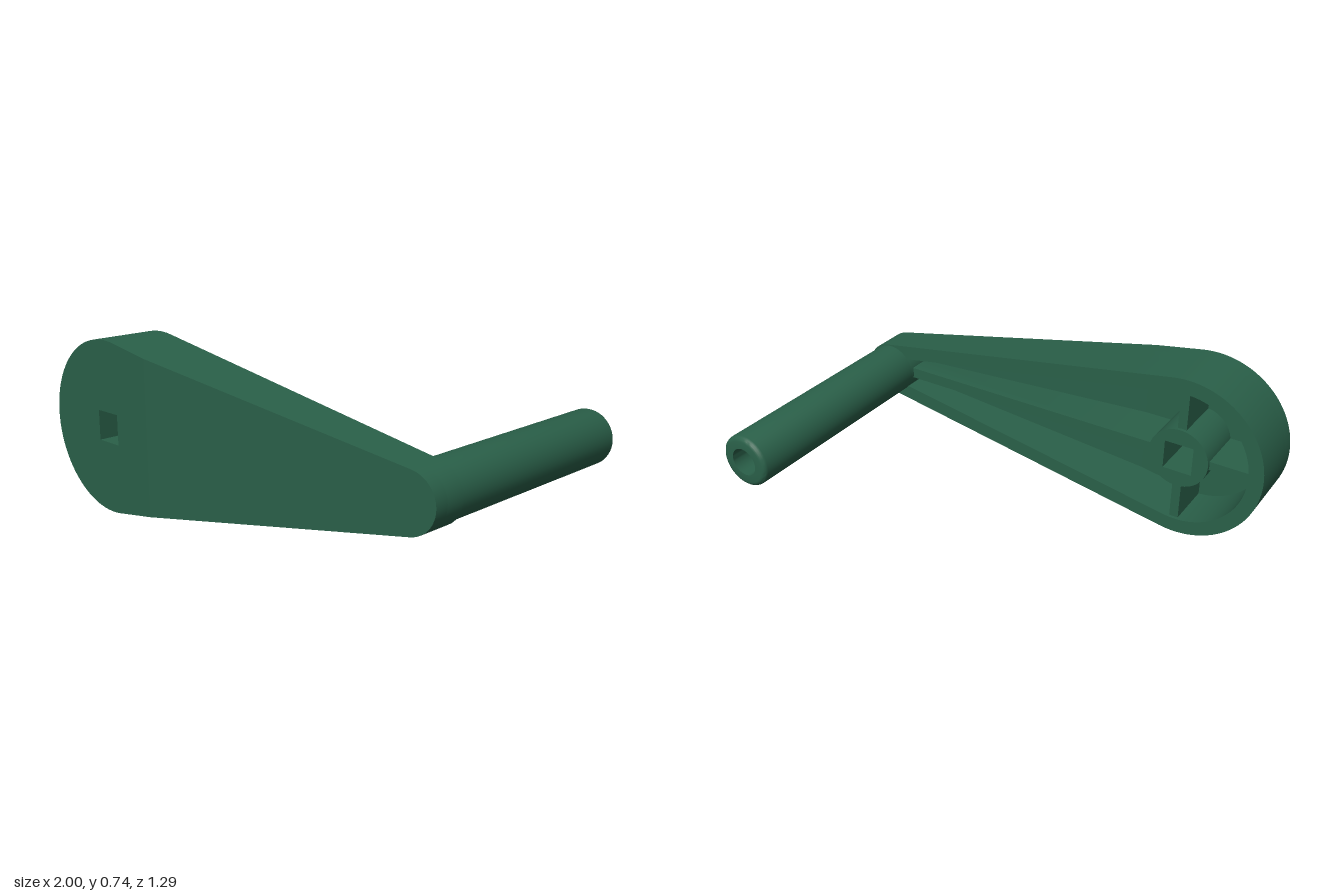
import * as THREE from 'three';
import { toCreasedNormals } from 'three/addons/utils/BufferGeometryUtils.js';

const CY = 0.375, HUB_X = -0.63, GRIP_X = 0.88;
const HUB_R = 0.37, GRIP_R = 0.12, WALL = 0.065, FLOOR = 0.06;
const BACK = 0.35, CUT = -0.36;
const TANGENT = Math.acos((HUB_R - GRIP_R) / (GRIP_X - HUB_X));

// Front face: flat over the hub, sloping back towards the grip
const frontZ = (x) => 0.645 - Math.max(0, x - CUT) * 0.15 / (1 - CUT);
const floorZ = (x) => frontZ(x) - FLOOR;

function arc(cx, r, from, to, n) {
  return Array.from({ length: n + 1 }, (_, i) => {
    const a = from + (to - from) * i / n;
    return new THREE.Vector2(cx + r * Math.cos(a), CY + r * Math.sin(a));
  });
}

// Teardrop outline split at the slope's crease, inset by a distance
function outline(inset) {
  const big = HUB_R - inset;
  const half = (big - (CUT - HUB_X) * Math.cos(TANGENT)) / Math.sin(TANGENT);
  const upper = new THREE.Vector2(CUT, CY + half);
  const lower = new THREE.Vector2(CUT, CY - half);
  const hubArc = arc(HUB_X, big, TANGENT, 2 * Math.PI - TANGENT, 56);
  const gripArc = arc(GRIP_X, GRIP_R - inset, -TANGENT, TANGENT, 24);
  return {
    hub: [upper, ...hubArc, lower],
    arm: [lower, ...gripArc, upper],
    all: [upper, ...hubArc, lower, ...gripArc],
  };
}

const rect = (x0, x1, y0, y1) => [[x0, y0], [x1, y0], [x1, y1], [x0, y1]]
  .map(([x, y]) => new THREE.Vector2(x, y));

export function createModel() {
  const group = new THREE.Group();
  const material = new THREE.MeshStandardMaterial({ color: 0x2a6049 });

  const add = (name, geometry) => {
    const mesh = new THREE.Mesh(toCreasedNormals(geometry, 0.6), material);
    mesh.name = name;
    group.add(mesh);
    return mesh;
  };

  // Extrudes an outline between two depth rules
  const slab = (name, points, back, front, hole) => {
    const shape = new THREE.Shape(points);
    if (hole) shape.holes.push(new THREE.Path(hole));
    const geometry = new THREE.ExtrudeGeometry(shape, { depth: 1, bevelEnabled: false });
    const p = geometry.attributes.position;
    for (let i = 0; i < p.count; i++) {
      const rule = p.getZ(i) > 0.5 ? front : back;
      p.setZ(i, rule(p.getX(i)));
    }
    geometry.computeVertexNormals();
    return add(name, geometry);
  };

  const backZ = () => BACK;
  const ribZ = () => BACK + 0.015;
  const outer = outline(0), inner = outline(WALL);
  const socket = rect(-0.69, -0.56, 0.31, 0.44);

  // Front plate and the rim wall behind it
  slab('hubPlate', outer.hub, floorZ, frontZ, socket);
  slab('armPlate', outer.arm, floorZ, frontZ);
  slab('rimWall', outer.all, backZ, floorZ, inner.all);

  // Hub with square socket, and the solid boss under the grip
  slab('socketHub', arc(-0.625, 0.135, 0, 2 * Math.PI, 40).slice(0, -1), backZ, floorZ, socket);
  slab('gripBoss', arc(0.875, 0.116, 0, 2 * Math.PI, 40).slice(0, -1), backZ, floorZ);

  // Stiffening ribs in the open back
  slab('longRib', [
    ...rect(-0.51, CUT, CY - 0.025, CY + 0.025).slice(0, 2),
    ...rect(CUT, 0.78, CY - 0.025, CY + 0.025).slice(1, 3),
    new THREE.Vector2(CUT, CY + 0.025), new THREE.Vector2(-0.51, CY + 0.025),
  ], ribZ, floorZ);
  slab('endRib', rect(-0.96, -0.74, CY - 0.02, CY + 0.02), ribZ, floorZ);
  slab('upperRib', rect(-0.645, -0.605, CY + 0.115, CY + 0.33), ribZ, floorZ);
  slab('lowerRib', rect(-0.645, -0.605, CY - 0.33, CY - 0.115), ribZ, floorZ);

  // Round grip with softened end and a tapered blind bore
  const profile = [
    [0.116, 0], [0.116, 0.98], [0.113, 0.99], [0.106, 0.997], [0.096, 1],
    [0.062, 1], [0.045, 0.1], [0, 0.1],
  ].map(([r, y]) => new THREE.Vector2(r, y));
  const grip = add('grip', new THREE.LatheGeometry(profile, 48).rotateX(-Math.PI / 2));
  grip.position.set(0.875, CY, BACK);

  return group;
}
